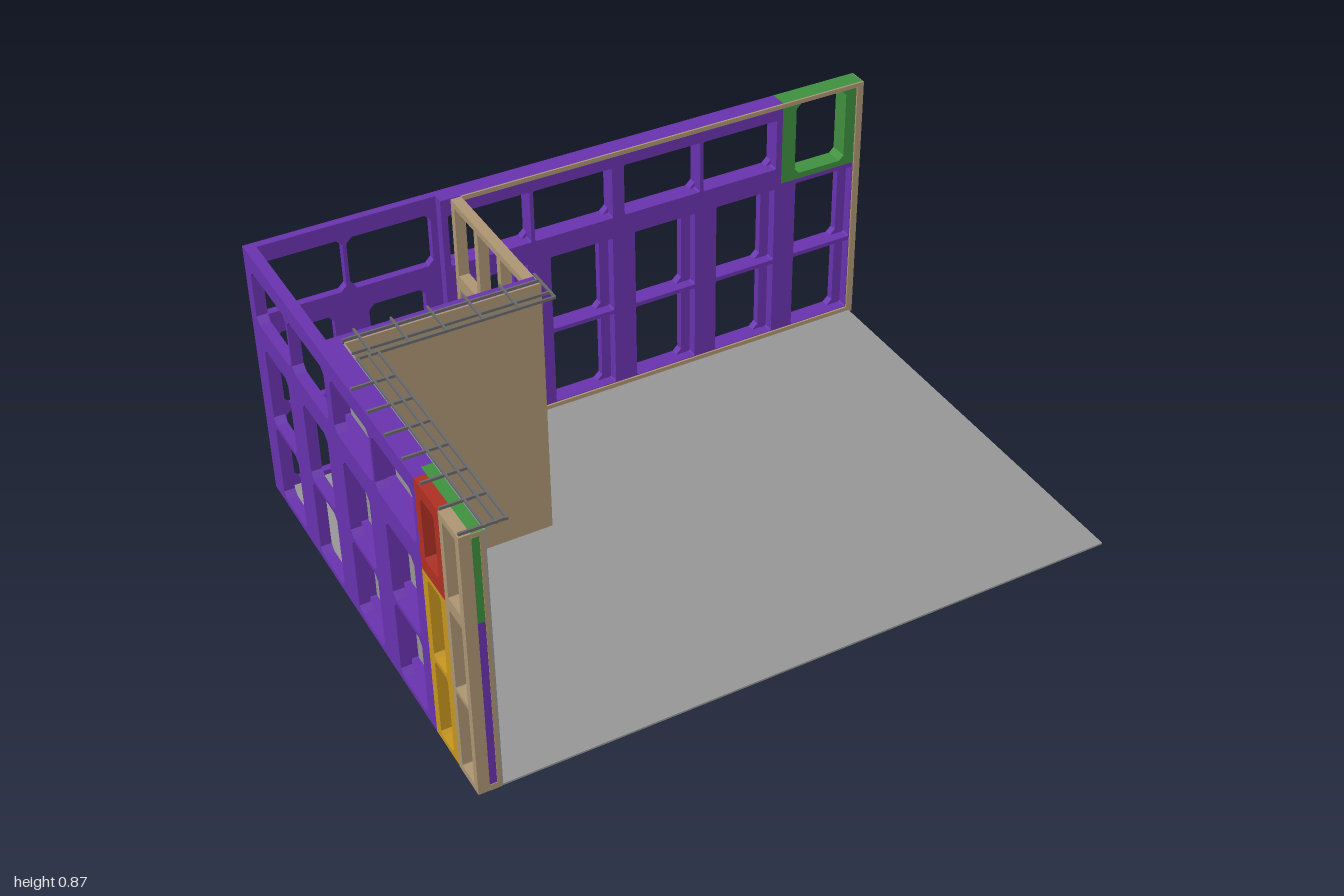
import * as THREE from 'three';

const mat = (name, color) => {
  const m = new THREE.MeshStandardMaterial({ color });
  m.name = name;
  return m;
};

export function createModel() {
  const root = new THREE.Group();
  root.name = 'wallFormwork';
  const purple = mat('purple', 0x6a33b0), green = mat('green', 0x3f913f), tan = mat('timber', 0xae9674);
  const gray = mat('gray', 0x989898), steel = mat('steel', 0x6a6a6a);
  const red = mat('red', 0xb03024), yellow = mat('yellow', 0xc8971f);

  // Box given by its limits
  const box = (name, m, x0, x1, y0, y1, z0, z1, parent = root) => {
    const mesh = new THREE.Mesh(new THREE.BoxGeometry(x1 - x0, y1 - y0, z1 - z0), m);
    mesh.position.set((x0 + x1) / 2, (y0 + y1) / 2, (z0 + z1) / 2);
    mesh.name = name;
    parent.add(mesh);
  };

  // Rectangle path with cut corners
  const outline = (path, [a, b, c, d], r) => {
    const pts = [[a + r, c], [b - r, c], [b, c + r], [b, d - r], [b - r, d], [a + r, d], [a, d - r], [a, c + r]];
    pts.forEach(([u, v], i) => (i ? path.lineTo(u, v) : path.moveTo(u, v)));
    path.closePath();
    return path;
  };

  // Sheet with openings; alongZ runs it down the side, otherwise along x
  const panel = (name, m, rect, holes, r, at, depth, alongZ) => {
    const s = new THREE.Shape();
    const [a, b, c, d] = rect;
    s.moveTo(a, c); s.lineTo(b, c); s.lineTo(b, d); s.lineTo(a, d); s.closePath();
    holes.forEach(h => s.holes.push(outline(new THREE.Path(), h, r)));
    const g = new THREE.ExtrudeGeometry(s, { depth, bevelEnabled: false });
    if (alongZ) g.rotateY(-Math.PI / 2).translate(at + depth, 0, 0);
    else g.translate(0, 0, at);
    const mesh = new THREE.Mesh(g, m);
    mesh.name = name;
    root.add(mesh);
  };

  const H = 0.86, MID = 0.575, P = 0.2857;
  // Two stacked openings split by a thin rail
  const lower = (c, hw) => [[c - hw, c + hw, 0.022, 0.284], [c - hw, c + hw, 0.298, 0.56]];

  // Row of n modules: tall openings below, ribbon openings above
  const wall = (name, u0, n, at, depth, alongZ, { off = 0, hw = 0.089, r = 0.018, end = u0 + n * P, start = u0, greenLast = false, flip = 0 } = {}) => {
    const low = [], up = [];
    for (let i = 0; i < n; i++) {
      const a = u0 + i * P, c = a + P / 2;
      low.push(...lower(c + off, hw));
      if (greenLast && i === n - 1) continue;
      const thinLeft = (i + flip) % 2 === 0;
      up.push([a + (thinLeft ? 0.006 : 0.02), a + P - (thinLeft ? 0.02 : 0.006), 0.632, 0.805]);
    }
    const split = greenLast ? u0 + (n - 1) * P : end;
    panel(name + 'LowerPanels', purple, [start, end, 0.004, MID], low, r, at, depth, alongZ);
    panel(name + 'UpperPanels', purple, [start, split, MID, H], up, r, at, depth, alongZ);
    if (greenLast) {
      const c = split + P / 2;
      panel(name + 'CornerPanel', green, [split, end, MID, H], [[c - 0.094, c + 0.086, 0.595, 0.842]], 0.016, at, depth, alongZ);
    }
  };

  // Floor slab
  box('floor', gray, -0.965, 0.99, 0, 0.006, -0.69, 0.71);

  // Back wall, outer and inner layers
  wall('backOuter', -1, 7, -0.71, 0.025, false, { greenLast: true, flip: 1 });
  wall('backInner', -0.4286, 5, -0.685, 0.033, false, { off: 0.0157, hw: 0.105, r: 0.004, greenLast: true, flip: 1 });

  // Timber edging on the inside and end of the back wall
  box('backTopEdging', tan, -0.365, 1, 0.846, H, -0.652, -0.646);
  box('backBottomEdging', tan, -0.365, 1, 0, 0.02, -0.652, -0.646);
  box('backEndEdging', tan, 0.98, 1, 0.02, 0.846, -0.652, -0.646);
  box('endStripRear', tan, 1, 1.002, 0, H, -0.71, -0.697);
  box('endStripFront', tan, 1, 1.002, 0, H, -0.657, -0.646);
  box('endStripTop', tan, 1, 1.002, 0.846, H, -0.697, -0.657);
  box('endStripBottom', tan, 1, 1.002, 0, 0.02, -0.697, -0.657);

  // Side wall, outer layer with red, yellow and timber fillers
  wall('sideOuter', -0.685, 4, -1, 0.033, true, { end: 0.455, flip: 1 });
  panel('redFiller', red, [0.455, 0.595, MID, H], [[0.485, 0.565, 0.62, 0.82]], 0.01, -1, 0.033, true);
  panel('yellowFiller', yellow, [0.455, 0.595, 0.004, MID], lower(0.525, 0.04), 0.01, -1, 0.033, true);
  panel('timberFiller', tan, [0.595, 0.71, 0, H],
    [...lower(0.652, 0.036), [0.616, 0.688, 0.6, 0.84]], 0.002, -1, 0.033, true);

  // Side wall, inner layer with its gray facing
  wall('sideInner', -0.147, 3, -0.967, 0.032, true, { off: 0.0157, hw: 0.105, r: 0.004, start: -0.18, end: 0.709, greenLast: true });
  box('sideFacing', gray, -0.935, -0.93, 0, H, -0.14, 0.71);
  box('sideEndStrip', tan, -0.946, -0.935, 0, H, 0.709, 0.711);
  box('sideEndTop', tan, -0.967, -0.946, 0.846, H, 0.709, 0.711);
  box('sideEndBottom', tan, -0.967, -0.946, 0, 0.02, 0.709, 0.711);

  // Partition with timber facing
  wall('partition', -0.938, 2, -0.18, 0.034, false, { r: 0.012, start: -0.967, end: -0.367 });
  box('partitionFacing', tan, -0.93, -0.362, 0, H, -0.146, -0.14);
  box('partitionEnd', tan, -0.367, -0.362, 0, H, -0.18, -0.146);

  // Timber stud wall with doorway
  const studs = new THREE.Group();
  studs.name = 'studWall';
  root.add(studs);
  const X0 = -0.398, X1 = -0.365;
  const stud = (name, y0, y1, z0, z1) => box(name, tan, X0, X1, y0, y1, z0, z1, studs);
  stud('topPlate', 0.84, H, -0.648, -0.18);
  stud('doorHeader', 0.584, 0.61, -0.625, -0.2);
  stud('frontStud', 0, 0.84, -0.2, -0.18);
  stud('rearStud', 0, 0.84, -0.648, -0.625);
  [[-0.348, -0.325], [-0.497, -0.473]].forEach(([a, b]) => stud('upperStud', 0.61, 0.84, a, b));
  [[-0.29, -0.267], [-0.555, -0.531]].forEach(([a, b]) => stud('doorStud', 0, 0.584, a, b));
  [[-0.267, -0.2], [-0.625, -0.555]].forEach(([a, b]) => {
    stud('solePlate', 0, 0.022, a, b);
    stud('midRail', 0.281, 0.295, a, b);
    stud('upperRail', 0.562, 0.584, a, b);
  });

  // Steel ladder mesh lying across the wall tops
  const ladder = new THREE.Group();
  ladder.name = 'topMesh';
  root.add(ladder);
  const w = 0.003, Y0 = 0.864, Y1 = 0.872;
  [-0.145, -0.08, -0.052].forEach(z => box('longBar', steel, -0.935, -0.363, Y0, Y1, z - w, z + w, ladder));
  for (let i = 0; i < 6; i++) {
    const x = -0.89 + i * 0.105;
    box('crossBar', steel, x - w, x + w, Y0, Y1, -0.178, -0.052, ladder);
  }
  [-0.932, -0.9, -0.873].forEach(x => box('longBar', steel, x - w, x + w, Y0, Y1, -0.05, 0.71, ladder));
  for (let i = 0; i < 7; i++) {
    const z = 0.062 + i * 0.1072;
    box('crossBar', steel, -0.998, -0.87, Y0, Y1, z - w, z + w, ladder);
  }
  return root;
}
